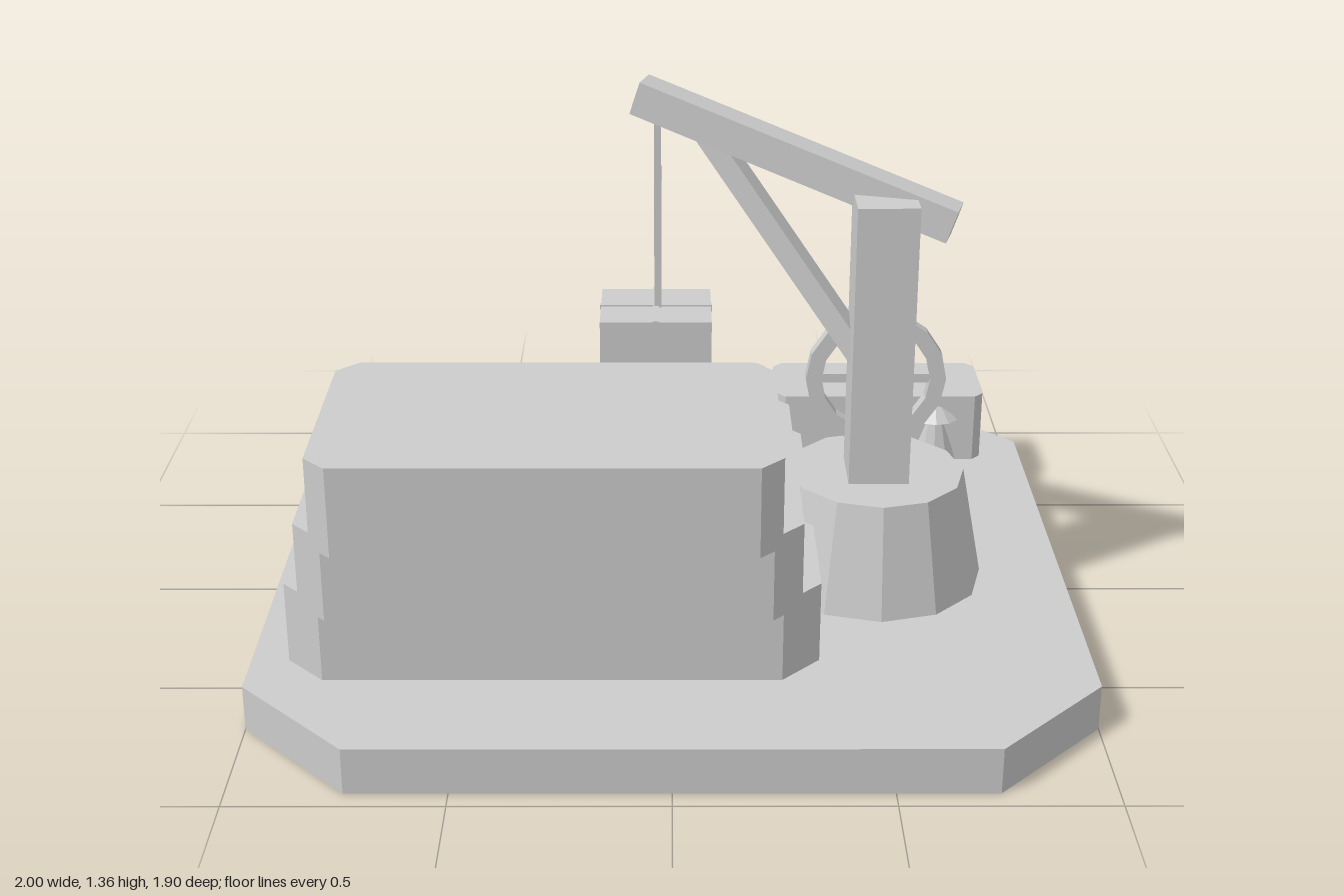
import * as THREE from 'three';

export function createModel() {
  const model = new THREE.Group();
  model.name = 'loadingYard';
  // Double sided because the ground plate is a hollow shell, open underneath
  const stone = new THREE.MeshStandardMaterial({ color: 0xcccccc, flatShading: true, side: THREE.DoubleSide });
  stone.name = 'plain grey';

  const add = (name, geometry, x = 0, y = 0, z = 0, parent = model) => {
    const mesh = new THREE.Mesh(geometry, stone);
    mesh.name = name;
    mesh.position.set(x, y, z);
    parent.add(mesh);
    return mesh;
  };
  const shapeOf = (pts) => new THREE.Shape(pts.map((p) => new THREE.Vector2(p[0], p[1])));
  const extrude = (shape, depth) =>
    new THREE.ExtrudeGeometry(shape, { depth, bevelEnabled: false, curveSegments: 8 });

  // Upright block with its four vertical corners cut off
  const slab = (name, x0, x1, y0, y1, z0, z1, cut) => {
    const w = (x1 - x0) / 2, d = (z1 - z0) / 2;
    const geometry = extrude(shapeOf([
      [-w + cut, -d], [w - cut, -d], [w, -d + cut], [w, d - cut],
      [w - cut, d], [-w + cut, d], [-w, d - cut], [-w, -d + cut],
    ]), y1 - y0);
    geometry.rotateX(-Math.PI / 2);
    return add(name, geometry, (x0 + x1) / 2, y0, (z0 + z1) / 2);
  };
  // Square beam between two points
  const beam = (name, a, b, width, height) => {
    const from = new THREE.Vector3(...a), to = new THREE.Vector3(...b);
    const mesh = add(name, new THREE.BoxGeometry(width, height, from.distanceTo(to)));
    mesh.position.copy(from).lerp(to, 0.5);
    mesh.lookAt(to);
    return mesh;
  };

  // Ground plate: the six triangles of the bottom face come first and are left out
  const base = slab('basePlate', -1, 1, 0, 0.115, -0.95, 0.95, 0.265);
  const shell = new THREE.BufferGeometry();
  shell.setAttribute('position',
    new THREE.Float32BufferAttribute(base.geometry.attributes.position.array.slice(6 * 9), 3));
  shell.computeVertexNormals();
  base.geometry = shell;

  // Three overhanging storeys with slit windows along the back
  const storeys = [
    [-0.91, 0.35, 0.115, 0.32, -0.38, 0.655, 0.092],
    [-0.86, 0.3, 0.315, 0.525, -0.085, 0.73, 0.07],
    [-0.807, 0.247, 0.517, 0.735, 0.21, 0.812, 0.053],
  ];
  storeys.forEach((s) => {
    slab('storey', ...s);
    for (const x of [-0.69, -0.35, -0.01]) {
      add('slitWindow', new THREE.BoxGeometry(0.022, 0.11, 0.03), x, (s[2] + s[3]) / 2 - 0.01, s[4] + 0.003);
    }
  });

  // Entrance porch: stepped arches, doors and lintel
  const porchX = -0.325;
  const arch = (name, half, shoulder, topHalf, top, z0, z1) =>
    add(name, extrude(shapeOf([
      [-half, 0.115], [half, 0.115], [half, shoulder], [topHalf, top], [-topHalf, top], [-half, shoulder],
    ]), z1 - z0), porchX, 0, z0);
  arch('porchHall', 0.26, 0.32, 0.16, 0.48, -0.4, -0.145);
  arch('porchOuterFrame', 0.3, 0.27, 0.165, 0.45, -0.405, -0.38);
  arch('porchInnerFrame', 0.235, 0.27, 0.13, 0.425, -0.455, -0.4);
  for (const side of [-1, 1]) {
    add('door', new THREE.BoxGeometry(0.12, 0.18, 0.02), porchX + side * 0.066, 0.205, -0.459);
    add('doorHandle', new THREE.BoxGeometry(0.018, 0.035, 0.03), porchX + side * 0.043, 0.225, -0.474);
  }
  add('lintel', new THREE.BoxGeometry(0.13, 0.045, 0.03), porchX, 0.372, -0.463);

  // Crane pedestal and mast
  const cx = 0.515, cz = 0.105;
  add('cranePedestal', new THREE.CylinderGeometry(0.222, 0.277, 0.285, 12), cx, 0.2575, cz);
  add('craneMast', new THREE.BoxGeometry(0.15, 0.74, 0.16), cx, 0.75, 0.113);

  // Slanting boom, brace and rope
  beam('craneBoom', [-0.08, 1.318, -0.105], [0.682, 1.057, 0.111], 0.082, 0.085);
  beam('craneBrace', [0.09, 1.235, -0.05], [0.48, 0.69, 0.09], 0.055, 0.055);
  add('rope', new THREE.BoxGeometry(0.018, 0.52, 0.018), -0.035, 1.02, -0.087);

  // Hanging crate with thin crossed bands
  add('hangingCrate', new THREE.BoxGeometry(0.28, 0.165, 0.24), -0.04, 0.685, -0.0925);
  add('crateBand', new THREE.BoxGeometry(0.016, 0.172, 0.246), -0.04, 0.685, -0.0925);
  add('crateBand', new THREE.BoxGeometry(0.284, 0.172, 0.016), -0.04, 0.685, -0.0925);

  // Winding wheel on the back of the mast
  const wheel = new THREE.Group();
  wheel.name = 'windingWheel';
  wheel.position.set(cx, 0.615, 0.014);
  model.add(wheel);
  const rim = new THREE.Shape().absarc(0, 0, 0.177, 0, Math.PI * 2, false);
  rim.holes.push(new THREE.Path().absarc(0, 0, 0.137, 0, Math.PI * 2, true));
  add('wheelRim', extrude(rim, 0.036), 0, 0, -0.018, wheel);
  for (const turn of [0, Math.PI / 2]) {
    add('wheelSpokes', new THREE.BoxGeometry(0.31, 0.024, 0.022), 0, 0, 0, wheel).rotation.z = turn;
  }
  const hub = new THREE.CylinderGeometry(0.033, 0.033, 0.065, 10);
  hub.rotateX(Math.PI / 2);
  add('wheelHub', hub, 0, 0, -0.008, wheel);

  // Row of crates along the back edge
  for (const x of [-0.005, 0.3, 0.605]) {
    slab('crate', x, x + 0.28, 0.115, 0.31, -0.815, -0.565, 0.024);
  }

  // Capped mooring post against the last crate
  const post = [[0.07, 0.115], [0.038, 0.235], [0.072, 0.24], [0.032, 0.28], [0, 0.285]];
  add('mooringPost', new THREE.LatheGeometry(post.map((p) => new THREE.Vector2(p[0], p[1])), 12), 0.75, 0, -0.595);

  return model;
}
